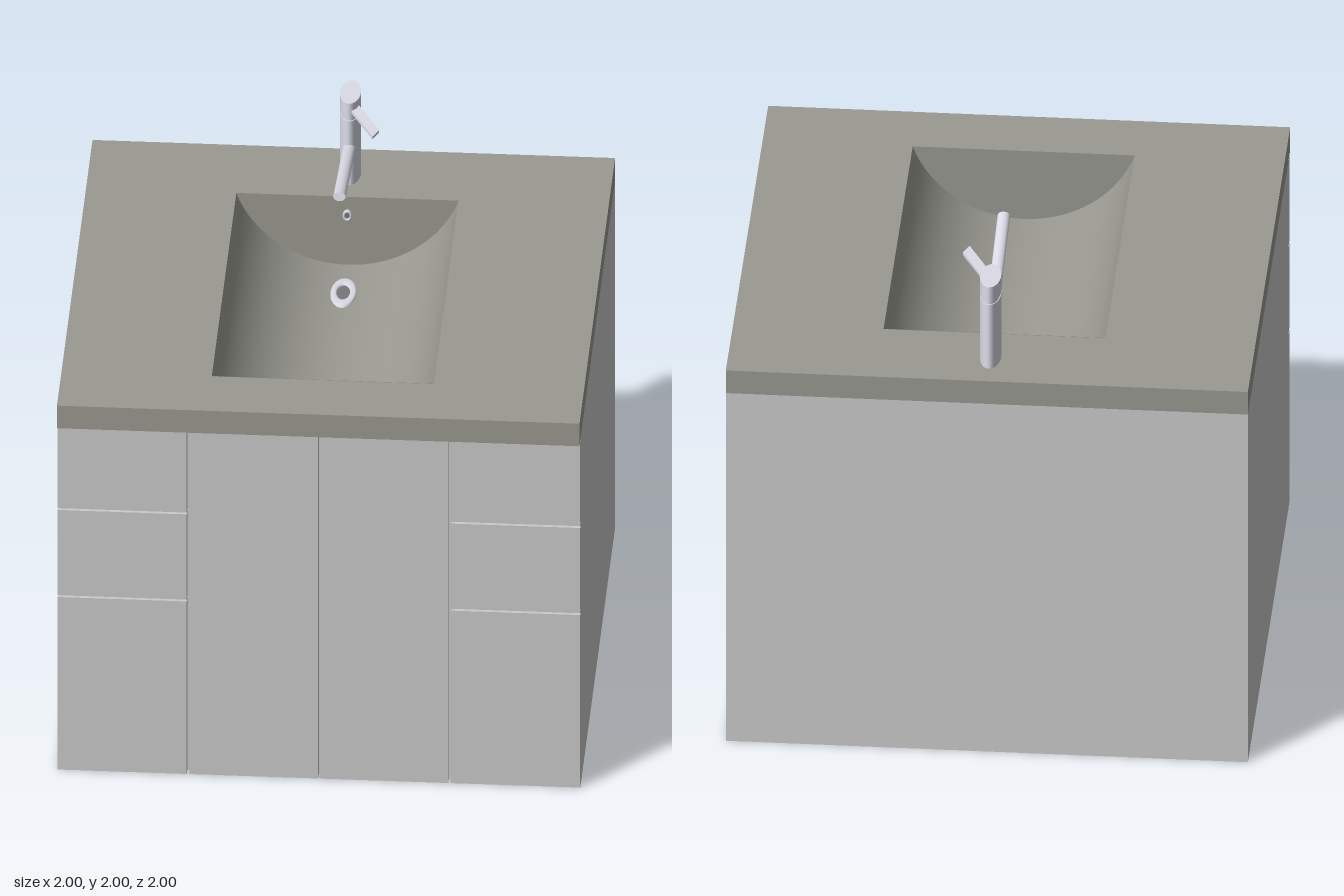
import * as THREE from 'three';

const D = THREE.DoubleSide;
const grey = new THREE.MeshStandardMaterial({ color: 0xcccccc });
const stone = new THREE.MeshStandardMaterial({ color: 0x9a9a92, side: D });
const chrome = new THREE.MeshStandardMaterial({ color: 0xdcdce8, side: D });
const dark = new THREE.MeshStandardMaterial({ color: 0x77777c });

export function createModel() {
  const root = new THREE.Group();
  const add = (name, geo, mat, parent = root) => {
    const m = new THREE.Mesh(geo, mat);
    m.name = name;
    parent.add(m);
    return m;
  };
  // box given by its limits on each axis
  const box = (name, [x0, x1], [y0, y1], [z0, z1], parent) => {
    const g = new THREE.BoxGeometry(x1 - x0, y1 - y0, z1 - z0);
    g.translate((x0 + x1) / 2, (y0 + y1) / 2, (z0 + z1) / 2);
    return add(name, g, grey, parent);
  };
  const group = (name) => {
    const g = new THREE.Group();
    g.name = name;
    root.add(g);
    return g;
  };

  // cabinet carcass, hollow so the basin can hang inside
  const H = 1.54, zf = 0.925, t = 0.035;
  const carcass = group('carcass');
  box('bottomPanel', [-1, 1], [0, t], [-1, zf], carcass);
  box('backPanel', [-1, 1], [t, H], [-1, -1 + t], carcass);
  box('innerFront', [-1 + t, 1 - t], [t, H], [zf - t, zf], carcass);
  for (const s of [-1, 1])
    box('sidePanel', s < 0 ? [-1, -1 + t] : [1 - t, 1], [t, H], [-1 + t, zf], carcass);

  // drawer fronts and doors, mirrored about the centre
  const fronts = group('fronts');
  const rows = [[0.003, 0.768], [0.776, 1.154], [1.162, 1.537]];
  for (const s of [-1, 1]) {
    const span = (a, b) => (s < 0 ? [-b, -a] : [a, b]);
    for (const r of rows) box('drawerFront', span(0.506, 1), r, [zf, 0.96], fronts);
    box('door', span(0.003, 0.495), [0.003, 1.537], [zf, 0.96], fronts);
  }

  // countertop with a rectangular opening
  const hw = 0.425, zb = -0.64, ze = 0.74, top = 1.64;
  const rect = (P, x, a, b) =>
    new P([[-x, a], [x, a], [x, b], [-x, b]].map(([u, v]) => new THREE.Vector2(u, v)));
  const slab = rect(THREE.Shape, 1, -1, 1);
  slab.holes.push(rect(THREE.Path, hw, -ze, -zb));
  const slabGeo = new THREE.ExtrudeGeometry(slab, { depth: top - H, bevelEnabled: false });
  slabGeo.rotateX(-Math.PI / 2).translate(0, H, 0);
  add('countertop', slabGeo, stone);

  // basin: circular trough closed by two flat ends
  const basin = group('basin');
  const depth = 0.3, R = (hw * hw + depth * depth) / (2 * depth);
  const half = Math.asin(hw / R), cy = top - depth + R;
  const trough = new THREE.PlaneGeometry(2 * half, ze - zb, 32, 1);
  trough.rotateX(-Math.PI / 2).translate(0, 0, (zb + ze) / 2);
  const p = trough.attributes.position;
  for (let i = 0; i < p.count; i++) {
    const a = p.getX(i);
    p.setXYZ(i, R * Math.sin(a), cy - R * Math.cos(a), p.getZ(i));
  }
  trough.computeVertexNormals();
  add('trough', trough, stone, basin);
  const end = new THREE.Shape();
  end.absarc(0, cy, R, -Math.PI / 2 - half, -Math.PI / 2 + half, false);
  for (const z of [zb + 0.002, ze - 0.002])
    add('basinEnd', new THREE.ShapeGeometry(end, 32), stone, basin).position.z = z;

  // drain and overflow rings, each with a dark centre
  const ring = (name, rx, ry) => {
    const g = group(name);
    const pts = [[0.5, 0], [0.5, 0.006], [0.6, 0.01], [0.9, 0.01], [1, 0.004], [1, -0.004]];
    add('flange', new THREE.LatheGeometry(pts.map(([x, y]) => new THREE.Vector2(x, y)), 32), chrome, g);
    const hole = add('holeDisc', new THREE.CircleGeometry(0.5, 32), dark, g);
    hole.rotation.x = -Math.PI / 2;
    hole.position.y = 0.003;
    g.scale.set(rx, 1, ry);
    return g;
  };
  ring('drain', 0.05, 0.108).position.set(0, top - depth + 0.001, -0.42);
  const overflow = ring('overflow', 0.018, 0.025);
  overflow.rotation.x = Math.PI / 2;
  overflow.position.set(0, 1.56, zb + 0.002);

  // faucet: oval body and cap, with a narrow joint between them
  const faucet = group('faucet');
  const oval = (name, rx, rz, y0, y1) => {
    const g = new THREE.CylinderGeometry(1, 1, y1 - y0, 40);
    g.scale(rx, 1, rz).translate(0, (y0 + y1) / 2, -0.817);
    add(name, g, chrome, faucet);
  };
  oval('faucetBody', 0.04, 0.088, top, 1.922);
  oval('faucetJoint', 0.037, 0.083, 1.922, 1.93);
  oval('faucetCap', 0.04, 0.088, 1.93, 2);

  // spout rising toward the front
  const a = new THREE.Vector3(0, 1.793, -0.76), b = new THREE.Vector3(0, 1.903, -0.194);
  const spoutGeo = new THREE.CylinderGeometry(1, 1, a.distanceTo(b), 24);
  spoutGeo.scale(0.024, 1, 0.018);
  const spout = add('spout', spoutGeo, chrome, faucet);
  spout.position.copy(a).lerp(b, 0.5);
  spout.rotation.x = Math.atan2(b.z - a.z, b.y - a.y);

  // flat lever angled to the side
  const lever = new THREE.Shape(
    [[0.0, 0.785], [0.03, 0.785], [0.125, 0.595], [0.103, 0.543], [0.01, 0.73]]
      .map(([x, y]) => new THREE.Vector2(x, y)));
  const leverGeo = new THREE.ExtrudeGeometry(lever, { depth: 0.012, bevelEnabled: false });
  leverGeo.rotateX(-Math.PI / 2).translate(0, 1.956, 0);
  add('lever', leverGeo, chrome, faucet);

  return root;
}
